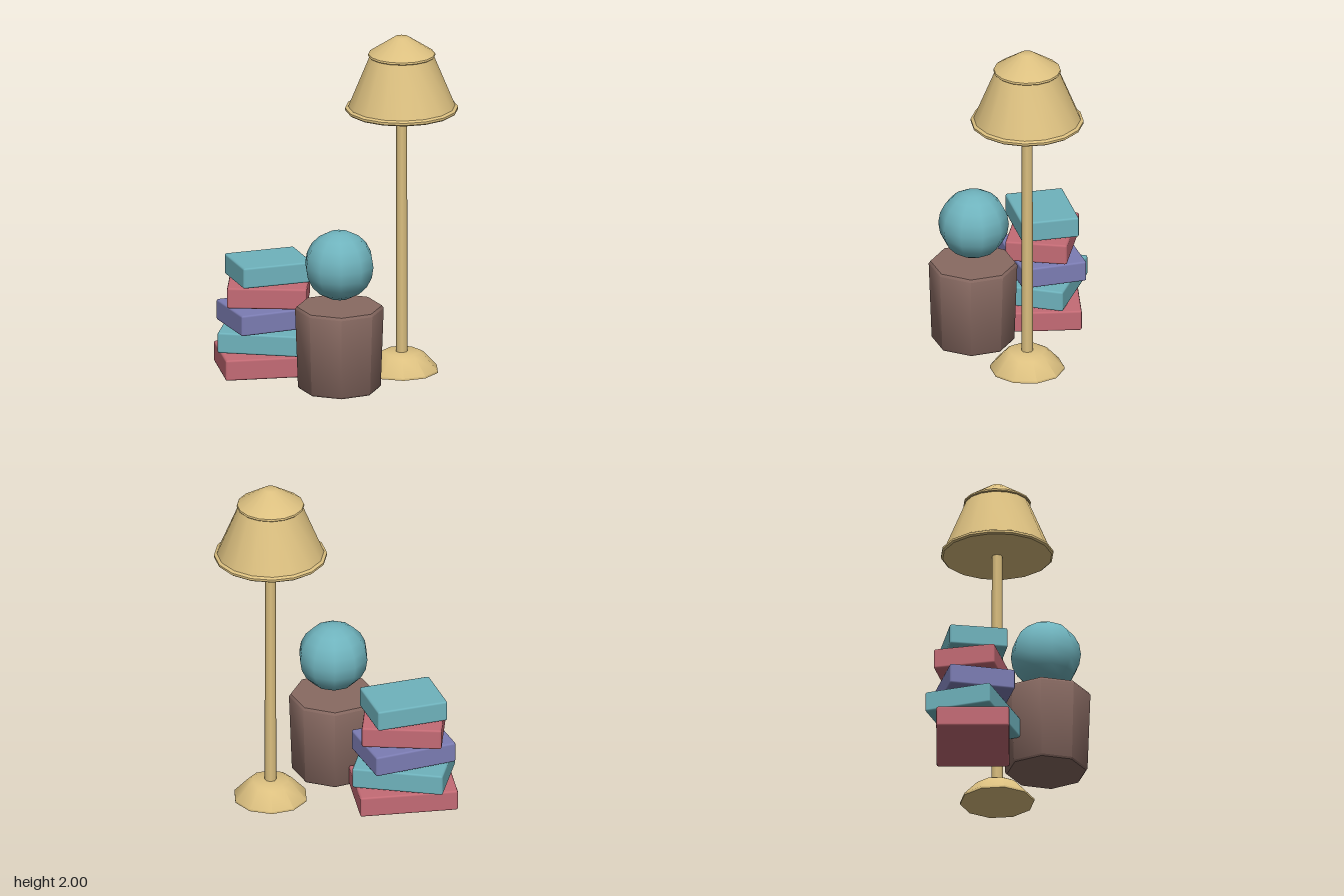
import * as THREE from 'three';
import { toCreasedNormals } from 'three/addons/utils/BufferGeometryUtils.js';
import { RoundedBoxGeometry } from 'three/addons/geometries/RoundedBoxGeometry.js';

const material = (name, color) => {
  const m = new THREE.MeshStandardMaterial({ color });
  m.name = name;
  return m;
};

function addMesh(parent, name, geometry, mat, x = 0, y = 0, z = 0) {
  const mesh = new THREE.Mesh(geometry, mat);
  mesh.name = name;
  mesh.position.set(x, y, z);
  parent.add(mesh);
  return mesh;
}

// Turned solid from [radius, height] pairs, listed bottom to top
function turned(profile, sides, crease) {
  const points = profile.map(([r, y]) => new THREE.Vector2(r, y));
  return toCreasedNormals(new THREE.LatheGeometry(points, sides), crease);
}

export function createModel() {
  const model = new THREE.Group();
  model.name = 'lampBooksAndPot';

  const teal = material('teal', 0x6fb3bd);
  const rose = material('rose', 0xc46b75);
  const violet = material('violet', 0x7c7db4);
  const brass = material('brass', 0xdcc080);
  const brown = material('brown', 0x886a62);

  // Floor lamp
  const lamp = new THREE.Group();
  lamp.name = 'lamp';
  lamp.position.set(0.375, 0, -0.13);
  model.add(lamp);
  addMesh(lamp, 'lampBase', turned(
    [[0, 0], [0.215, 0], [0.215, 0.012], [0.132, 0.1], [0.105, 0.115], [0, 0.115]], 10, 0.75), brass);
  addMesh(lamp, 'lampPole', new THREE.CylinderGeometry(0.031, 0.034, 1.47, 8), brass, 0, 0.835, 0);
  addMesh(lamp, 'lampShade', turned(
    [[0, 1.557], [0.315, 1.557], [0.325, 1.565], [0.325, 1.578], [0.308, 1.587], [0.185, 1.885], [0, 1.885]],
    16, 0.5), brass);
  addMesh(lamp, 'lampCap', turned(
    [[0, 1.885], [0.19, 1.885], [0.195, 1.89], [0.192, 1.9], [0.04, 2], [0, 2]], 16, 0.65), brass);

  // Pot with a ball hovering just above its closed top
  addMesh(model, 'pot', turned(
    [[0, 0], [0.23, 0], [0.238, 0.01], [0.255, 0.475], [0.245, 0.49], [0, 0.49]], 8, 0.85), brown, 0, 0, 0.2);
  const ball = addMesh(model, 'ball', new THREE.SphereGeometry(0.203, 10, 10), teal, 0, 0.735, 0.197);
  ball.rotation.y = Math.PI / 2;

  // Stack of books, each smaller and twisted against the one below
  const books = new THREE.Group();
  books.name = 'bookStack';
  books.position.set(-0.388, 0, -0.178);
  model.add(books);
  [
    [0.57, 0.42, 0.118, rose],
    [0.53, 0.396, -0.226, teal],
    [0.495, 0.384, 0.349, violet],
    [0.46, 0.36, -0.107, rose],
    [0.422, 0.338, 0.286, teal],
  ].forEach(([width, depth, turn, mat], i) => {
    const book = addMesh(books, `book${i + 1}`,
      new RoundedBoxGeometry(width, 0.123, depth, 1, 0.012), mat, 0, 0.068 + i * 0.136, 0);
    book.rotation.y = turn;
  });

  return model;
}
